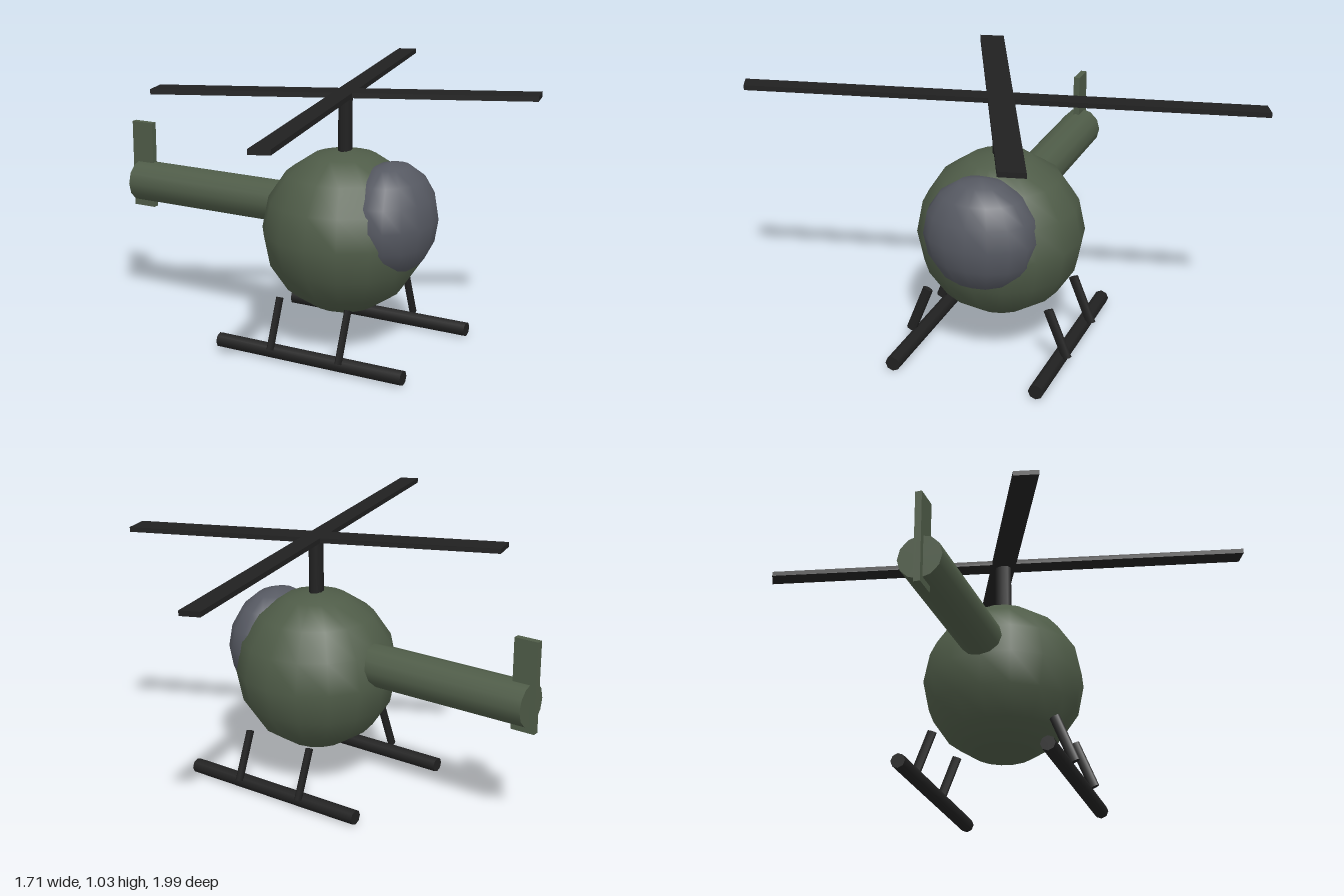
import * as THREE from 'three';

const paint = (name, color) => Object.assign(new THREE.MeshStandardMaterial({ color }), { name });

export function createModel() {
  const model = new THREE.Group();
  model.name = 'helicopter';
  const green = paint('olive green', 0x4f5c48);
  const glass = paint('grey glass', 0x565962);
  const black = paint('black', 0x212121);
  const cx = 0.16; // fuselage and rotor axis

  const add = (name, geometry, material, x, y, z) => {
    const mesh = new THREE.Mesh(geometry, material);
    mesh.name = name;
    mesh.position.set(x, y, z);
    model.add(mesh);
    return mesh;
  };

  // Round cabin with a bulging windscreen
  add('cabin', new THREE.SphereGeometry(0.33, 16, 8), green, cx, 0.475, 0);
  add('windscreen', new THREE.SphereGeometry(0.23, 16, 8).scale(0.76, 1, 1), glass, 0.365, 0.546, 0);

  // Tail boom and upright fin
  add('tailBoom', new THREE.CylinderGeometry(0.086, 0.086, 0.8, 12).rotateZ(Math.PI / 2), green, -0.43, 0.55, 0);
  add('tailFin', new THREE.BoxGeometry(0.1, 0.365, 0.026), green, -0.805, 0.6225, 0);

  // Mast, slightly flattened along the body
  add('mast', new THREE.CylinderGeometry(0.035, 0.035, 0.3, 8).scale(0.74, 1, 1), black, cx, 0.875, 0);

  // Two crossed blades: unit boxes sheared onto half-length and half-width vectors
  const blades = [
    { along: [0.21, 0.981], across: [-0.035, 0.016] },
    { along: [0.681, -0.305], across: [0.011, 0.049] },
  ];
  for (const { along, across } of blades) {
    const shear = new THREE.Matrix4().makeBasis(
      new THREE.Vector3(along[0], 0, along[1]),
      new THREE.Vector3(0, 0.01, 0),
      new THREE.Vector3(across[0], 0, across[1]),
    );
    add('rotorBlade', new THREE.BoxGeometry(2, 2, 2).applyMatrix4(shear), black, cx, 1.025, 0);
  }

  // Landing skids with two splayed struts each
  for (const side of [1, -1]) {
    add('skid', new THREE.CylinderGeometry(0.03, 0.03, 0.815, 8).rotateZ(Math.PI / 2), black, 0.1625, 0.03, side * 0.295);
    for (const x of [0.01, 0.312]) {
      const strut = new THREE.CylinderGeometry(0.021, 0.021, 0.21, 8).scale(0.55, 1, 1);
      add('skidStrut', strut, black, x, 0.143, side * 0.292).rotation.x = -side * 0.38;
    }
  }
  return model;
}
